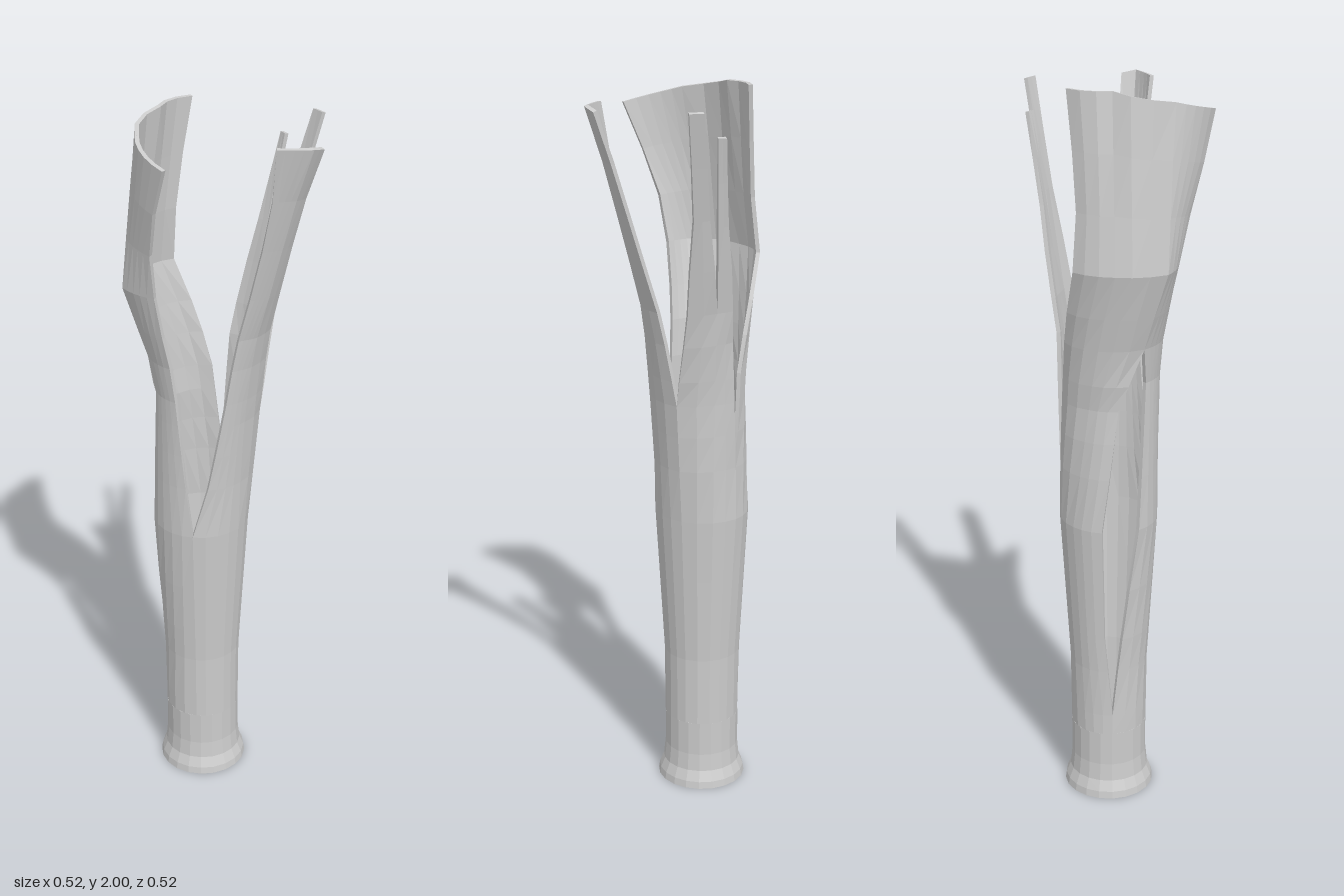
import * as THREE from 'three';

const CX = -0.005, CZ = -0.1, WALL = 0.011, SPLIT = 1.55;
const material = new THREE.MeshStandardMaterial({ color: 0xcccccc, flatShading: true, side: THREE.DoubleSide });
const LEVELS = [0.2, 0.26, 0.4, 0.5, 0.65, 0.83, 0.98, 1.08, 1.17, 1.24, 1.34, 1.43, 1.55, 1.7, 1.85, 2];

// Columns run up the wall as [height, angle from the front in degrees, radius].
const low = (a) => [[0.2, a, 0.105], [0.4, a, 0.107], [0.6, a, 0.119], [0.83, a, 0.133]];
const frontMiddle = [...low(0), [1, 0, 0.14], [1.2, 0, 0.156], [1.4, 0, 0.185], [1.6, 0, 0.245], [1.8, 0, 0.3], [1.97, 0, 0.36]];
const frontRight = [...low(-61), [1, -40, 0.135], [1.22, -25, 0.152], [1.4, -17, 0.17], [1.6, -10.5, 0.219], [1.8, -9, 0.27], [1.97, -11, 0.295]];
const frontLeft = [...low(31), [1.17, 31, 0.164], [1.4, 20, 0.191], [1.6, 12, 0.245], [1.8, 8, 0.303], [1.96, 7, 0.362]];
const sliverAFront = [...low(31), [1.17, 31, 0.164], [1.4, 44, 0.195], [1.7, 51, 0.258], [1.97, 50, 0.331]];
const sliverABack = [...low(69), [1.2, 69, 0.14], [1.43, 69, 0.166], [1.7, 60, 0.238], [1.97, 56.5, 0.318]];
const sliverBFront = [...low(69), [1.2, 69, 0.14], [1.43, 69, 0.166], [1.7, 66, 0.219], [1.9, 64, 0.258]];
const sliverBBack = [...low(100), [0.98, 100, 0.13], [1.35, 90, 0.14], [1.7, 73, 0.209], [1.9, 69, 0.257]];
const backLeft = [...low(100), [0.98, 100, 0.13], [1.27, 114, 0.12], [1.4, 135, 0.127], [1.55, 157, 0.152], [1.75, 157, 0.13], [2, 137, 0.124]];
const backMiddle = [[0.2, 155, 0.105], [0.4, 150, 0.107], [0.83, 145, 0.127], [1.17, 165, 0.108], [1.38, 185, 0.13],
  [1.55, 199, 0.171], [1.8, 199, 0.135], [2, 199, 0.106]];
const backUpper = [[1.34, 234, 0.142], [1.55, 239, 0.21], [1.8, 247, 0.195], [1.97, 255, 0.19]];
const slitLeft = [[0.2, 199, 0.105], [0.26, 199, 0.105], [0.5, 187, 0.113], [0.83, 185, 0.127], [1.17, 206, 0.115], ...backUpper];
const slitRight = [[0.2, 199, 0.105], [0.26, 199, 0.105], [0.4, 207, 0.107], [0.83, 231, 0.133], [1.24, 243, 0.128], ...backUpper];
const backRight = [...low(299), [1, 290, 0.133], [1.3, 278, 0.137], [1.5, 270, 0.175], [1.7, 274, 0.216], [1.93, 291, 0.274]];

function sample(column, level) {
  const top = column[column.length - 1][0];
  const y = level > SPLIT ? SPLIT + (level - SPLIT) * (top - SPLIT) / (2 - SPLIT) : level;
  let k = 1;
  while (k < column.length - 1 && column[k][0] < y) k++;
  const a = column[k - 1], b = column[k];
  const t = THREE.MathUtils.clamp((y - a[0]) / (b[0] - a[0]), 0, 1);
  return [y, a[1] + (b[1] - a[1]) * t, a[2] + (b[2] - a[2]) * t];
}

// Loft a strip of wall between columns and give it thickness.
function strip(columns) {
  const spots = [];
  for (let c = 0; c < columns.length - 1; c++) {
    const n = Math.ceil((columns[c + 1][0][1] - columns[c][0][1]) / 20);
    for (let s = 0; s < n; s++) spots.push([c, s / n]);
  }
  spots.push([columns.length - 2, 1]);
  const w = spots.length, h = LEVELS.length, outer = [], index = [];
  for (const level of LEVELS) {
    for (const [c, t] of spots) {
      const a = sample(columns[c], level), b = sample(columns[c + 1], level);
      const [y, deg, r] = a.map((v, i) => v + (b[i] - v) * t);
      const q = THREE.MathUtils.degToRad(deg);
      outer.push(CX + r * Math.sin(q), y, CZ + r * Math.cos(q));
    }
  }
  const quad = (a, b, c, d) => index.push(a, b, c, a, c, d);
  for (let i = 0; i < h - 1; i++)
    for (let j = 0; j < w - 1; j++) quad(i * w + j, i * w + j + 1, (i + 1) * w + j + 1, (i + 1) * w + j);

  const skin = new THREE.BufferGeometry();
  skin.setAttribute('position', new THREE.Float32BufferAttribute(outer, 3));
  skin.setIndex([...index]);
  skin.computeVertexNormals();
  const normal = skin.attributes.normal.array;
  const inner = outer.map((v, i) => v - normal[i] * WALL);

  const m = w * h;
  for (let k = 0, end = index.length; k < end; k += 3) index.push(index[k] + m, index[k + 2] + m, index[k + 1] + m);
  for (let i = 0; i < h - 1; i++) {
    const l = i * w, r = l + w - 1;
    quad(l + m, l, l + w, l + w + m);
    quad(r, r + m, r + w + m, r + w);
  }
  for (let j = 0; j < w - 1; j++) {
    const a = (h - 1) * w + j;
    quad(a, a + 1, a + 1 + m, a + m);
  }
  const geometry = new THREE.BufferGeometry();
  geometry.setAttribute('position', new THREE.Float32BufferAttribute([...outer, ...inner], 3));
  geometry.setIndex(index);
  geometry.computeVertexNormals();
  return geometry;
}

export function createModel() {
  const model = new THREE.Group();
  const add = (name, geometry, x = 0, y = 0, z = 0) => {
    const mesh = new THREE.Mesh(geometry, material);
    mesh.name = name;
    mesh.position.set(x, y, z);
    model.add(mesh);
    return mesh;
  };

  // Flared foot with a closed floor
  const profile = [[0, 0], [0.125, 0], [0.122, 0.02], [0.11, 0.05], [0.105, 0.1], [0.105, 0.2],
    [0.095, 0.2], [0.095, 0.03], [0, 0.03]].map(([x, y]) => new THREE.Vector2(x, y));
  add('foot', new THREE.LatheGeometry(profile, 20), CX, 0, CZ);

  // Torn wall, peeling outward towards the top
  add('frontStrip', strip([frontRight, frontMiddle, frontLeft]));
  add('leftSliver', strip([sliverAFront, sliverABack]));
  add('leftBackSliver', strip([sliverBFront, sliverBBack]));
  add('backPeelLeft', strip([backLeft, backMiddle, slitLeft]));
  add('backPeelRight', strip([slitRight, backRight]));

  // Small fittings on the floor inside
  const hose = add('innerHose', new THREE.TorusGeometry(0.068, 0.018, 8, 10, Math.PI * 0.6), CX, 0.035, CZ);
  hose.rotation.x = -Math.PI / 2;
  add('innerBlock', new THREE.BoxGeometry(0.035, 0.03, 0.035), -0.067, 0.04, -0.115);
  return model;
}
